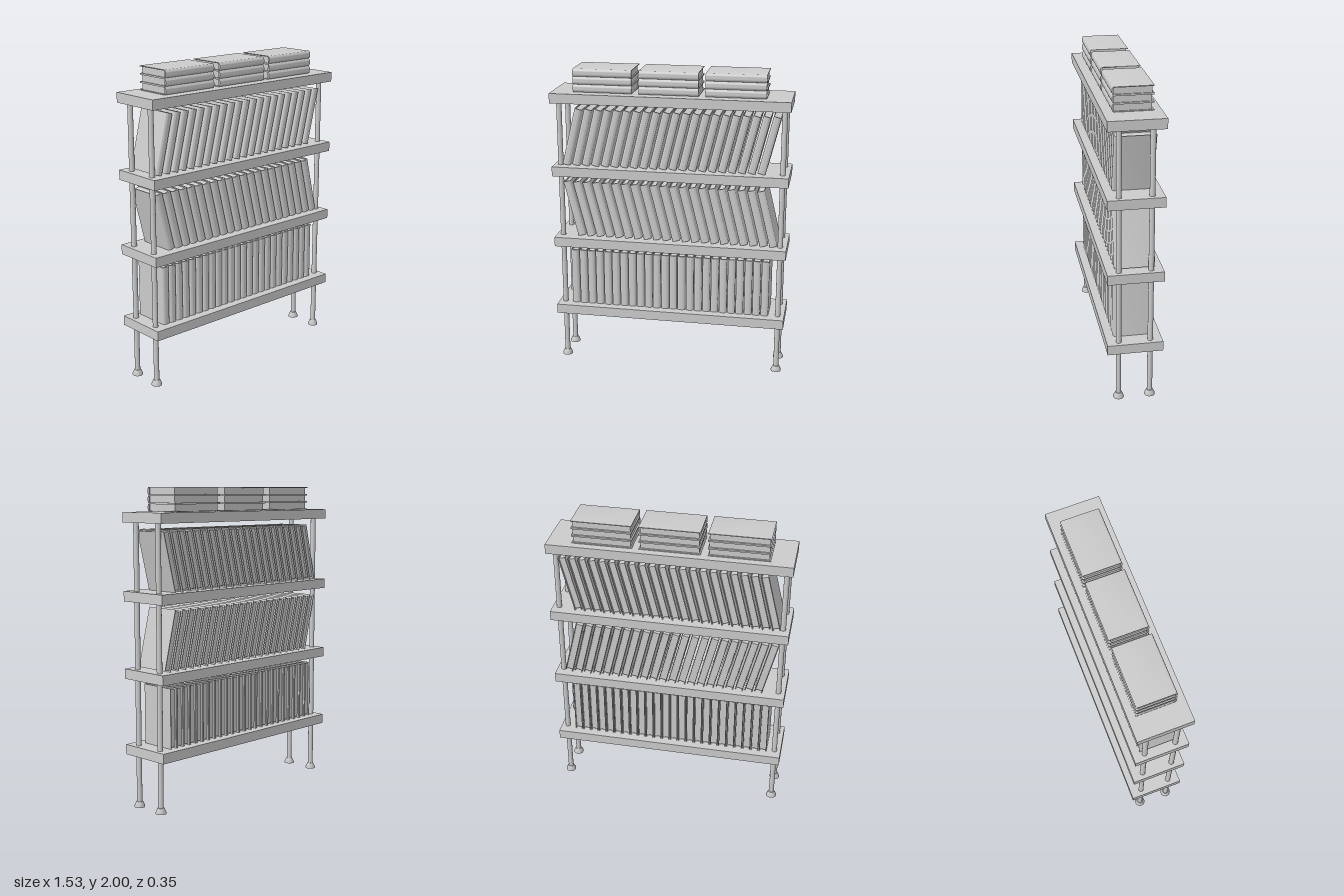
import * as THREE from 'three';
import { toCreasedNormals } from 'three/addons/utils/BufferGeometryUtils.js';

const H = 0.38, T = 0.05, BACK = -0.127, FRONT = 0.122; // book height, thickness and depth range

export function createModel() {
  const root = new THREE.Group();
  const material = new THREE.MeshStandardMaterial({ color: 0xcccccc });

  const add = (parent, geometry, name, x = 0, y = 0, z = 0) => {
    const mesh = new THREE.Mesh(geometry, material);
    mesh.name = name;
    mesh.position.set(x, y, z);
    parent.add(mesh);
    return mesh;
  };

  // Shelf boards
  const board = new THREE.BoxGeometry(1.53, 0.063, 0.35);
  [0.367, 0.85, 1.335, 1.817].forEach((y) => add(root, board, 'shelf', 0, y, 0));

  // Round posts with flared feet
  const post = new THREE.CylinderGeometry(0.017, 0.017, 1.8, 20);
  const foot = toCreasedNormals(new THREE.LatheGeometry([
    [0, 0], [0.034, 0], [0.034, 0.008], [0.021, 0.036], [0, 0.036],
  ].map(([r, y]) => new THREE.Vector2(r, y)), 20), 0.6);
  for (const x of [-0.723, 0.723]) {
    for (const z of [-0.1, 0.1]) {
      add(root, post, 'post', x, 0.91, z);
      add(root, foot, 'foot', x, 0, z);
    }
  }

  // Book cover: a U-shaped section with a rounded spine, centred on its height
  const h = T / 2, wall = 0.005, bulge = 0.014;
  const section = new THREE.Shape();
  section.moveTo(-h, -BACK);
  section.lineTo(-h, -FRONT + bulge);
  section.bezierCurveTo(-h, -FRONT - 0.004, h, -FRONT - 0.004, h, -FRONT + bulge);
  section.lineTo(h, -BACK);
  section.lineTo(h - wall, -BACK);
  section.lineTo(h - wall, -FRONT + bulge);
  section.lineTo(wall - h, -FRONT + bulge);
  section.lineTo(wall - h, -BACK);
  section.closePath();
  const coverGeo = toCreasedNormals(
    new THREE.ExtrudeGeometry(section, { depth: H, bevelEnabled: false, curveSegments: 10 })
      .translate(0, 0, -H / 2).rotateX(-Math.PI / 2), 0.6);

  // Page block, set back from the cover edges
  const pageDepth = FRONT - bulge - BACK - 0.012;
  const pagesGeo = new THREE.BoxGeometry(T - 2 * wall, H - 0.016, pageDepth)
    .translate(0, 0, FRONT - bulge - pageDepth / 2);

  const addBook = (parent, x, y, tilt) => {
    const book = new THREE.Group();
    book.name = 'book';
    add(book, coverGeo, 'cover');
    add(book, pagesGeo, 'pages');
    book.position.set(x, y, 0);
    book.rotation.z = tilt;
    parent.add(book);
  };

  // Rows of books: upright, leaning left, leaning right
  const rows = [
    { name: 'uprightBooks', count: 24, from: -0.646, to: 0.635, y: 0.59, tilt: 0 },
    { name: 'middleBooks', count: 21, from: -0.638, to: 0.634, y: 1.072, tilt: 0.24 },
    { name: 'upperBooks', count: 21, from: -0.638, to: 0.634, y: 1.556, tilt: -0.24 },
  ];
  for (const { name, count, from, to, y, tilt } of rows) {
    const row = new THREE.Group();
    row.name = name;
    for (let i = 0; i < count; i++) addBook(row, from + ((to - from) * i) / (count - 1), y, tilt);
    root.add(row);
  }

  // Three stacks of flat books on top
  for (const x of [-0.432, -0.006, 0.418]) {
    const stack = new THREE.Group();
    stack.name = 'bookStack';
    for (let i = 0; i < 3; i++) addBook(stack, x, 1.875 + i * T, Math.PI / 2);
    root.add(stack);
  }

  return root;
}
